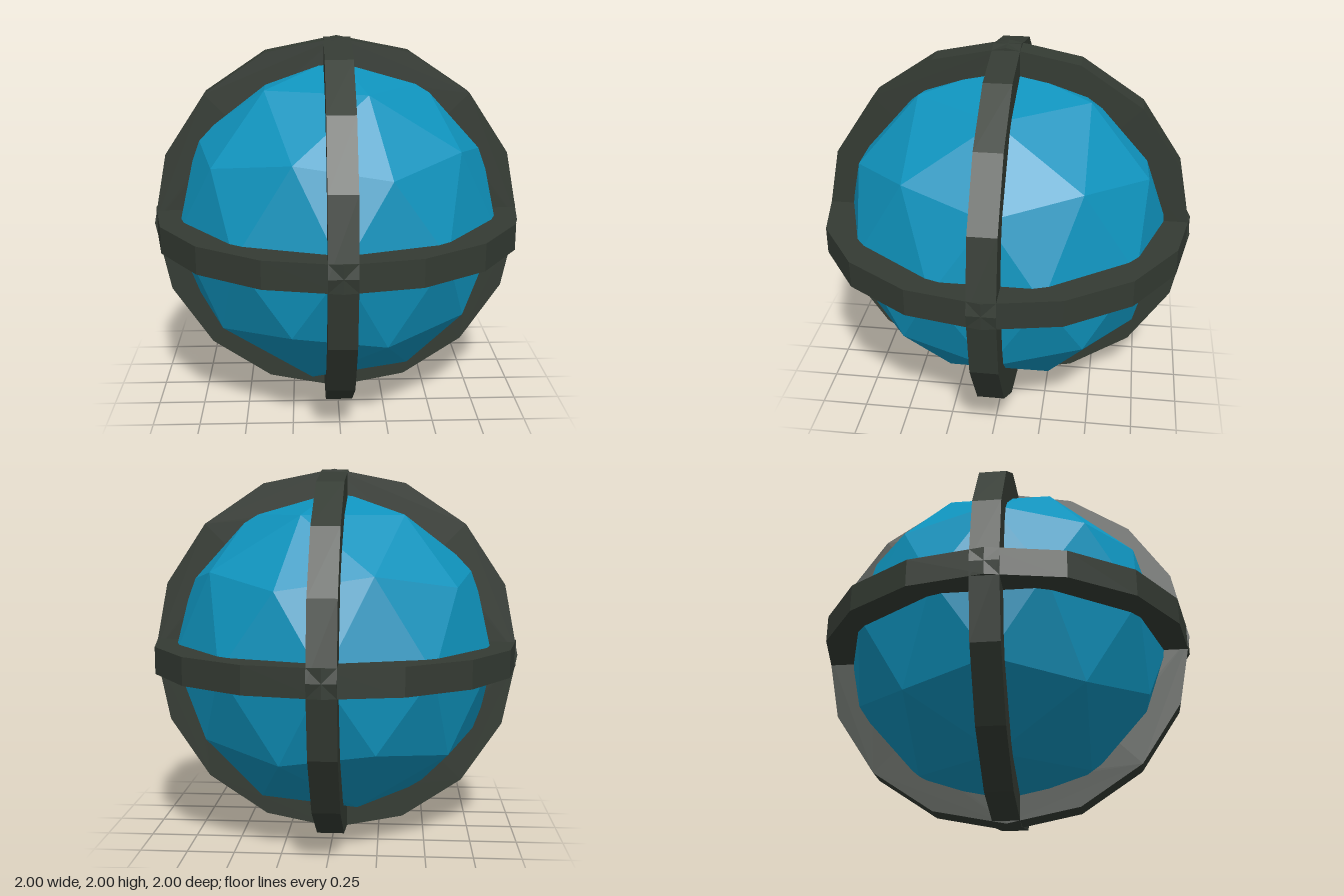
import * as THREE from 'three';

const BALL_RADIUS = 0.89;
const RING_OUTER = 1;
const RING_INNER = 0.8;
const RING_WIDTH = 0.144;
const SIDES = 16;

// Regular polygon with a corner on each axis
function polygon(radius) {
  return Array.from({ length: SIDES }, (_, i) => {
    const a = (i / SIDES) * Math.PI * 2;
    return new THREE.Vector2(Math.cos(a) * radius, Math.sin(a) * radius);
  });
}

// Flat faceted hoop lying in the xy plane
function ringGeometry() {
  const shape = new THREE.Shape(polygon(RING_OUTER));
  shape.holes.push(new THREE.Path(polygon(RING_INNER)));
  const geometry = new THREE.ExtrudeGeometry(shape, { depth: RING_WIDTH, bevelEnabled: false });
  return geometry.translate(0, 0, -RING_WIDTH / 2);
}

export function createModel() {
  const model = new THREE.Group();
  model.name = 'bandedBall';

  const blue = new THREE.MeshStandardMaterial({ color: 0x0f93bd, flatShading: true });
  const dark = new THREE.MeshStandardMaterial({ color: 0x343b33, flatShading: true });

  // Faceted core, turned so that one five-sided corner points straight up
  const core = new THREE.Mesh(new THREE.IcosahedronGeometry(BALL_RADIUS, 1), blue);
  core.name = 'core';
  core.geometry.rotateZ(-Math.atan(2 / (1 + Math.sqrt(5))));
  core.position.y = 1;
  model.add(core);

  // Three hoops at right angles to each other
  const hoop = ringGeometry();
  const turns = {
    frontRing: [0, 0, 0],
    sideRing: [0, Math.PI / 2, 0],
    equatorRing: [Math.PI / 2, 0, 0],
  };
  for (const [name, turn] of Object.entries(turns)) {
    const ring = new THREE.Mesh(hoop, dark);
    ring.name = name;
    ring.rotation.set(...turn);
    ring.position.y = 1;
    model.add(ring);
  }

  return model;
}
